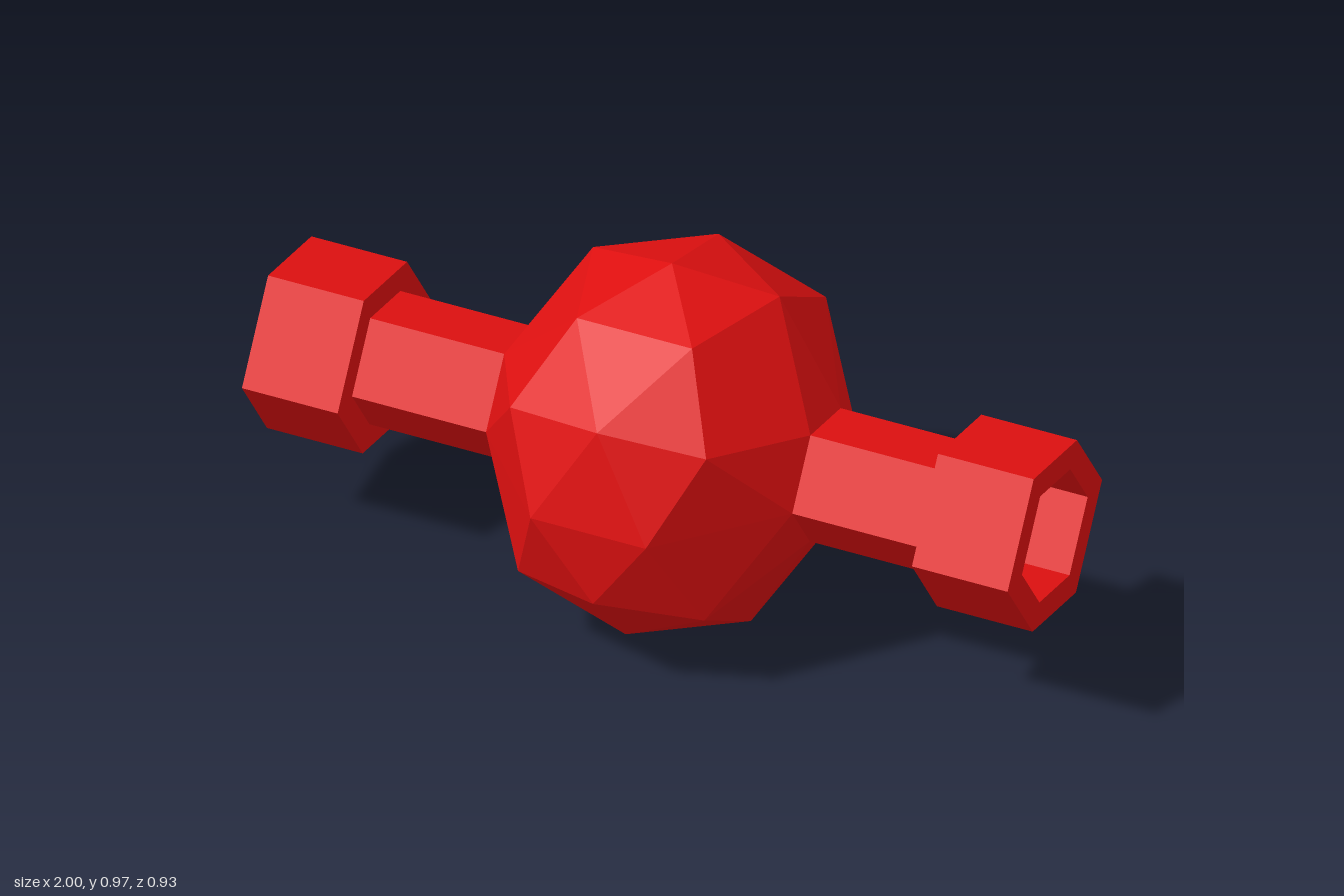
import * as THREE from 'three';

const R = 0.487;      // ball radius and centre height
const NECK = 0.633;   // neck scale relative to the ball's side hexagon
const COLLAR = 0.91;  // collar scale
const NECK_X = 0.4;   // where the necks leave the ball

// Facets of the ball; the hexagon on each side is shrunk and flattened into a neck opening
function ballGeometry(hexagon) {
  const source = new THREE.IcosahedronGeometry(R, 1);
  source.rotateX(-Math.atan((1 + Math.sqrt(5)) / 2));
  source.rotateY(Math.PI);
  const p = source.attributes.position;
  const out = [];
  for (let i = 0; i < p.count; i += 3) {
    const tri = [0, 1, 2].map(k => new THREE.Vector3().fromBufferAttribute(p, i + k));
    const open = tri.some(v => Math.abs(v.x) > 0.95 * R);
    for (const v of tri) {
      const rim = Math.abs(v.x) > 0.7 * R && Math.abs(v.x) < 0.95 * R;
      // Remember the side hexagon for the pipes
      if (rim && v.x > 0 && !hexagon.some(h => Math.hypot(h.y - v.y, h.z - v.z) < 0.01)) {
        hexagon.push({ y: v.y, z: v.z });
      }
      if (!open) {
        if (rim) out.push(Math.sign(v.x) * NECK_X, v.y * NECK, v.z * NECK);
        else out.push(v.x, v.y, v.z);
      }
    }
  }
  hexagon.sort((a, b) => Math.atan2(a.z, a.y) - Math.atan2(b.z, b.y));
  return toGeometry(out);
}

function toGeometry(points) {
  const g = new THREE.BufferGeometry();
  g.setAttribute('position', new THREE.Float32BufferAttribute(points, 3));
  g.computeVertexNormals();
  return g;
}

// Sweep the hexagon through [x, scale] sections, on the side given by sign
function pipeGeometry(hexagon, sections, sign, capped) {
  const out = [];
  const at = ([x, s], i) => {
    const h = hexagon[i % 6];
    return [sign * x, h.y * s, h.z * s];
  };
  const face = (a, b, c) => out.push(...(sign > 0 ? [a, b, c] : [a, c, b]).flat());
  for (let k = 0; k < sections.length - 1; k++) {
    for (let i = 0; i < 6; i++) {
      const a = at(sections[k], i), b = at(sections[k], i + 1);
      const c = at(sections[k + 1], i + 1), d = at(sections[k + 1], i);
      face(a, b, c);
      face(a, c, d);
    }
  }
  if (capped) {
    const last = sections[sections.length - 1];
    for (let i = 0; i < 6; i++) face([sign * last[0], 0, 0], at(last, i), at(last, i + 1));
  }
  return toGeometry(out);
}

export function createModel() {
  const red = new THREE.MeshStandardMaterial({ color: 0xe01010, flatShading: true });
  red.name = 'red';
  const group = new THREE.Group();
  group.name = 'ballJoint';
  const add = (name, geometry) => {
    const mesh = new THREE.Mesh(geometry, red);
    mesh.name = name;
    mesh.position.y = R;
    group.add(mesh);
  };

  const hexagon = [];
  add('ball', ballGeometry(hexagon));

  // Neck and hollow collar on each side
  for (const [side, sign] of [['left', 1], ['right', -1]]) {
    add(side + 'Neck', pipeGeometry(hexagon, [[NECK_X, NECK], [0.75, NECK]], sign, false));
    add(side + 'Collar', pipeGeometry(hexagon,
      [[0.75, NECK], [0.75, COLLAR], [1, COLLAR], [1, NECK], [0.75, NECK]], sign, true));
  }
  return group;
}
